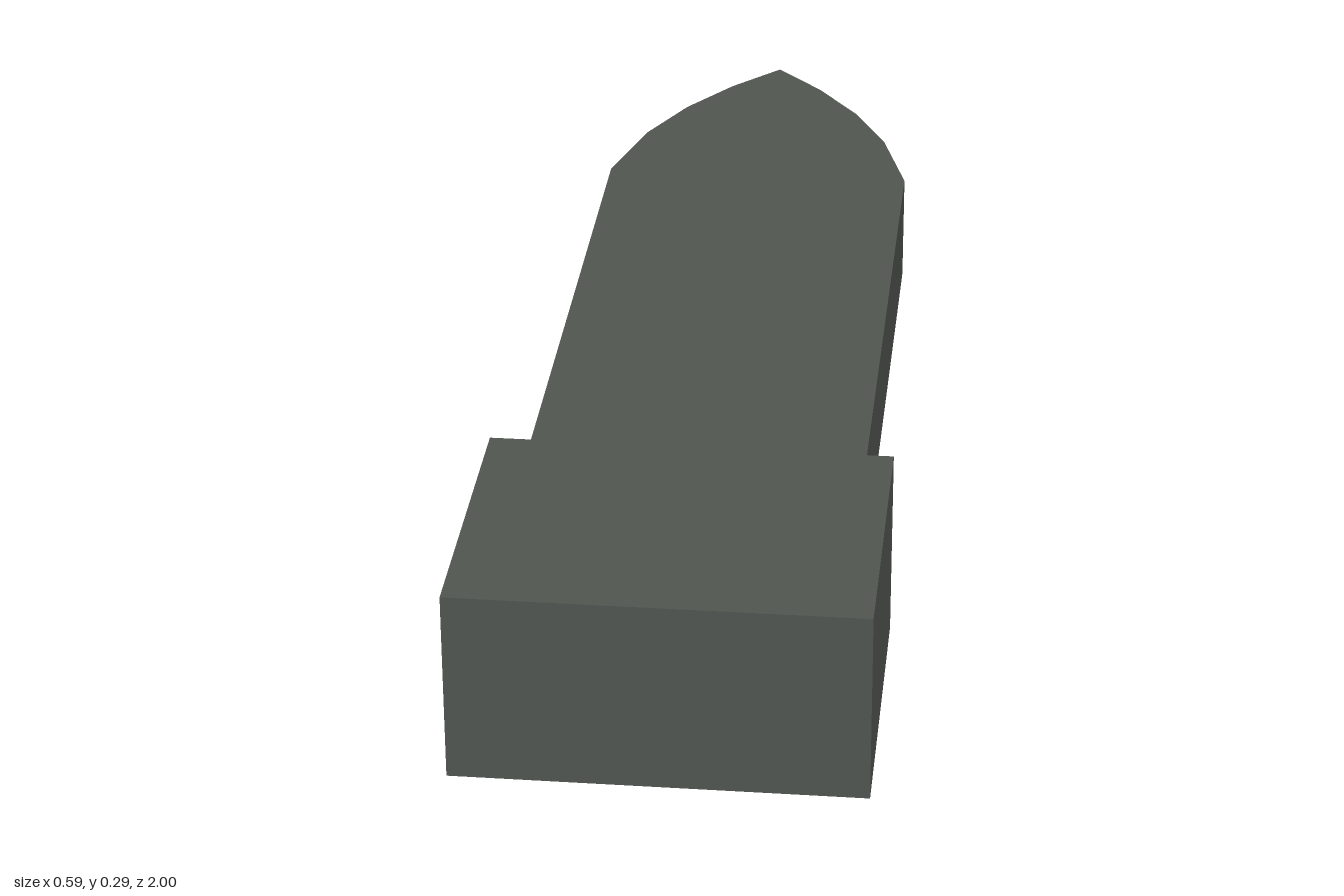
import * as THREE from 'three';
import { toCreasedNormals } from 'three/addons/utils/BufferGeometryUtils.js';

const material = new THREE.MeshStandardMaterial({ color: 0x50544f });

// Skin over rectangular sections [halfWidth, bottom, top, z], listed front to back.
function loft(name, sections, frontCap = false) {
  const positions = [];
  const rings = sections.map(([w, y0, y1, z]) => [
    [-w, y0, z], [w, y0, z], [w, y1, z], [-w, y1, z],
  ]);
  const triangle = (...corners) => corners.forEach((p) => positions.push(...p));

  for (let i = 0; i < rings.length - 1; i++) {
    const a = rings[i], b = rings[i + 1];
    for (let j = 0; j < 4; j++) {
      const k = (j + 1) % 4;
      triangle(a[j], b[j], a[k]);
      // top and bottom close to a single triangle where the width reaches zero
      if (sections[i + 1][0] > 0 || j % 2 === 1) triangle(a[k], b[j], b[k]);
    }
  }
  if (frontCap) {
    const [p, q, r, s] = rings[0];
    triangle(p, q, r);
    triangle(p, r, s);
  }

  const geometry = new THREE.BufferGeometry();
  geometry.setAttribute('position', new THREE.Float32BufferAttribute(positions, 3));
  const mesh = new THREE.Mesh(toCreasedNormals(geometry, 0.4), material);
  mesh.name = name;
  return mesh;
}

export function createModel() {
  const group = new THREE.Group();
  group.name = 'spike';

  // Block head with a flat front
  group.add(loft('head', [[0.297, 0, 0.29, 1], [0.297, 0, 0.29, 0.54]], true));

  // Bevel from the head down to the shaft
  group.add(loft('bevel', [[0.297, 0, 0.29, 0.54], [0.252, 0.058, 0.234, 0.507]]));

  // Straight shaft running into a curved, pointed end
  const outline = [[0.252, 0.507], [0.252, -0.54], [0.207, -0.7], [0.15, -0.815], [0.079, -0.915], [0, -1]];
  group.add(loft('shaft', outline.map(([w, z]) => [w, 0.058, 0.234, z])));

  return group;
}
